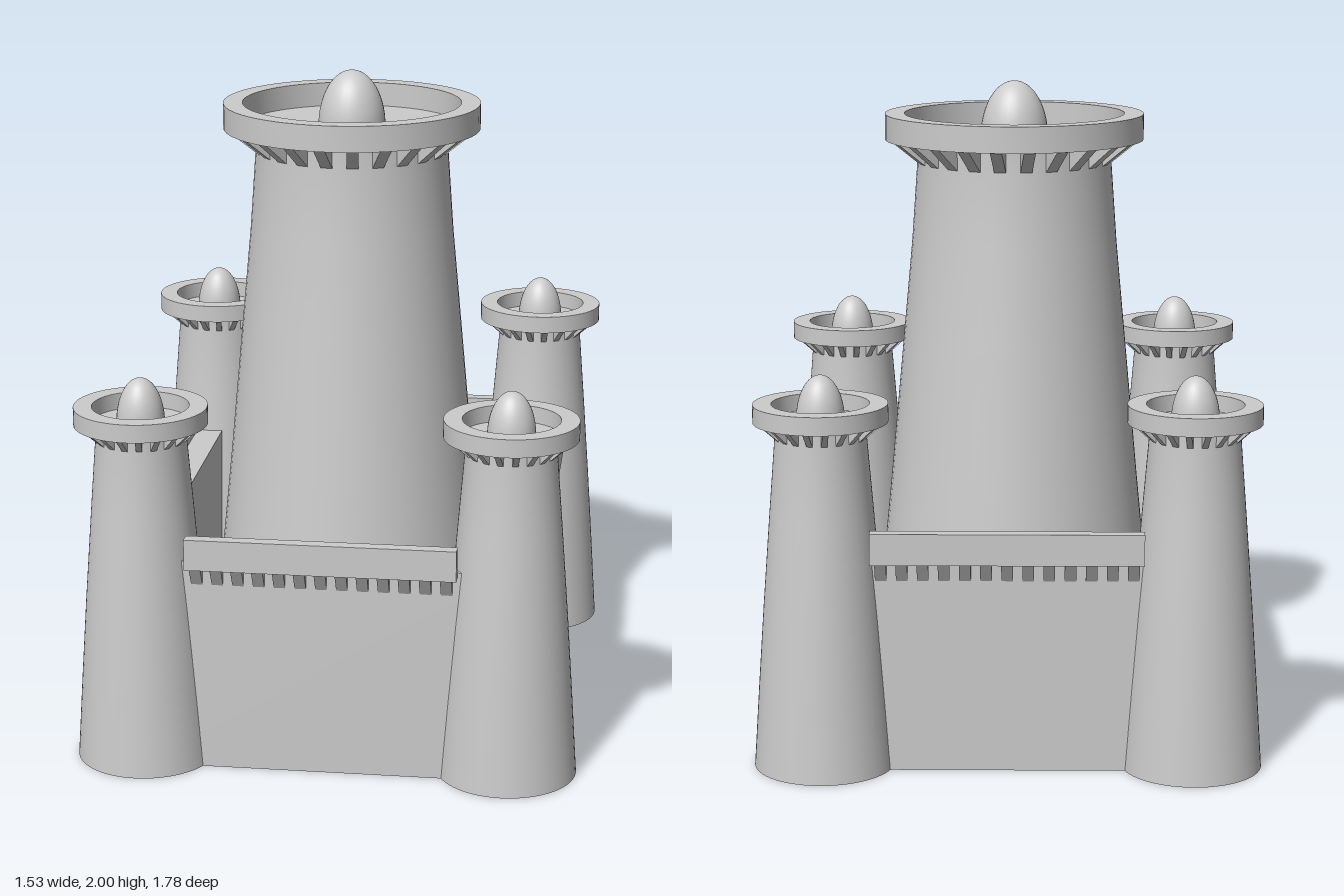
import * as THREE from 'three';
import { toCreasedNormals } from 'three/addons/utils/BufferGeometryUtils.js';

const material = new THREE.MeshStandardMaterial({ color: 0xcccccc });

function addMesh(parent, geometry, name) {
  const mesh = new THREE.Mesh(geometry, material);
  mesh.name = name;
  parent.add(mesh);
  return mesh;
}

function lathe(points, segments) {
  const profile = points.map(([r, y]) => new THREE.Vector2(r, y));
  return toCreasedNormals(new THREE.LatheGeometry(profile, segments), 0.6);
}

// Sloped bracket: points outward along +x, bottom at y = 0, centred across its width
function bracketGeometry(reach, height, width, root) {
  const shape = new THREE.Shape();
  shape.moveTo(-root, 0);
  shape.lineTo(0, 0);
  shape.lineTo(reach, height);
  shape.lineTo(-root, height);
  shape.closePath();
  return new THREE.ExtrudeGeometry(shape, { depth: width, bevelEnabled: false }).translate(0, 0, -width / 2);
}

// Tapered round tower with bracketed crown, sunken roof and egg-shaped dome
function roundTower(name, x, z, t) {
  const tower = new THREE.Group();
  tower.name = name;
  tower.position.set(x, 0, z);

  const topRadius = t.body[t.body.length - 1][0];
  addMesh(tower, lathe([[0, 0], ...t.body, [topRadius, t.crownBottom + 0.01]], 64), 'towerBody');
  addMesh(tower, lathe([
    [0, t.crownBottom], [t.outer, t.crownBottom], [t.outer, t.crownTop],
    [t.inner, t.crownTop], [t.inner, t.roof], [0, t.roof],
  ], 64), 'crown');

  const height = t.crownBottom - t.bracketBottom;
  const bracket = bracketGeometry(t.outer - 0.012 - topRadius, height, t.bracketWidth, 0.03);
  for (let i = 0; i < t.brackets; i++) {
    const angle = ((i + 0.5) / t.brackets) * Math.PI * 2;
    const mesh = addMesh(tower, bracket, 'crownBracket');
    mesh.position.set(Math.cos(angle) * topRadius, t.bracketBottom, -Math.sin(angle) * topRadius);
    mesh.rotation.y = angle;
  }

  const dome = addMesh(tower, new THREE.SphereGeometry(1, 32, 16, 0, Math.PI * 2, 0, Math.PI / 2), 'dome');
  dome.scale.set(t.domeRadius, t.domeTop - t.roof, t.domeRadius);
  dome.position.y = t.roof;
  return tower;
}

// Wall running along local x; its outermost face lies on local z = 0
function curtainWall(name, length, parapetLength, hasGate) {
  const wall = new THREE.Group();
  wall.name = name;
  const half = length / 2;
  const walkway = 0.66;
  const overhang = 0.04;

  const shape = new THREE.Shape();
  shape.moveTo(-half, 0);
  if (hasGate) {
    shape.lineTo(-0.082, 0);
    shape.lineTo(-0.064, 0.16);
    shape.lineTo(0.064, 0.16);
    shape.lineTo(0.082, 0);
  }
  shape.lineTo(half, 0);
  shape.lineTo(half, walkway);
  shape.lineTo(-half, walkway);
  shape.closePath();
  const body = new THREE.ExtrudeGeometry(shape, { depth: 0.085, bevelEnabled: false });
  addMesh(wall, body.translate(0, 0, -0.125), 'wallBody');

  const parapet = new THREE.BoxGeometry(parapetLength, 0.095, overhang);
  addMesh(wall, parapet.translate(0, 0.6925, -overhang / 2), 'parapet');

  // Row of brackets under the parapet
  const count = 13;
  const pitch = parapetLength / count;
  const bracket = bracketGeometry(overhang - 0.003, 0.06, pitch * 0.55, 0.01);
  for (let i = 0; i < count; i++) {
    const mesh = addMesh(wall, bracket, 'wallBracket');
    mesh.position.set((i + 0.5) * pitch - parapetLength / 2, 0.588, -overhang);
    mesh.rotation.y = -Math.PI / 2;
  }
  return wall;
}

export function createModel() {
  const castle = new THREE.Group();
  castle.name = 'castle';

  // Central keep
  castle.add(roundTower('keep', -0.013, -0.06, {
    body: [[0.465, 0], [0.435, 0.3], [0.39, 0.75], [0.348, 1.2], [0.32, 1.5], [0.303, 1.74]],
    bracketBottom: 1.75, crownBottom: 1.82, crownTop: 1.9, outer: 0.402, inner: 0.342,
    roof: 1.825, brackets: 24, bracketWidth: 0.036, domeRadius: 0.105, domeTop: 2,
  }));

  // Four corner towers
  const corner = {
    body: [[0.212, 0], [0.195, 0.25], [0.177, 0.5], [0.155, 0.78], [0.137, 1]],
    bracketBottom: 1.008, crownBottom: 1.055, crownTop: 1.11, outer: 0.2, inner: 0.145,
    roof: 1.06, brackets: 20, bracketWidth: 0.018, domeRadius: 0.072, domeTop: 1.195,
  };
  for (const x of [-0.553, 0.551]) {
    castle.add(roundTower('frontCornerTower', x, 0.67, corner));
    castle.add(roundTower('backCornerTower', x, -0.683, corner));
  }

  // Walls between the towers: name, length, parapet length, gate, x, z, turn
  const walls = [
    ['frontWall', 1.1, 0.81, false, 0, 0.806, 0],
    ['backWall', 1.1, 0.81, false, 0, -0.792, Math.PI],
    ['leftWall', 1.34, 1.08, true, 0.65, 0, Math.PI / 2],
    ['rightWall', 1.34, 1.08, false, -0.647, 0, -Math.PI / 2],
  ];
  for (const [name, length, parapetLength, hasGate, x, z, turn] of walls) {
    const wall = curtainWall(name, length, parapetLength, hasGate);
    wall.position.set(x, 0, z);
    wall.rotation.y = turn;
    castle.add(wall);
  }
  return castle;
}
